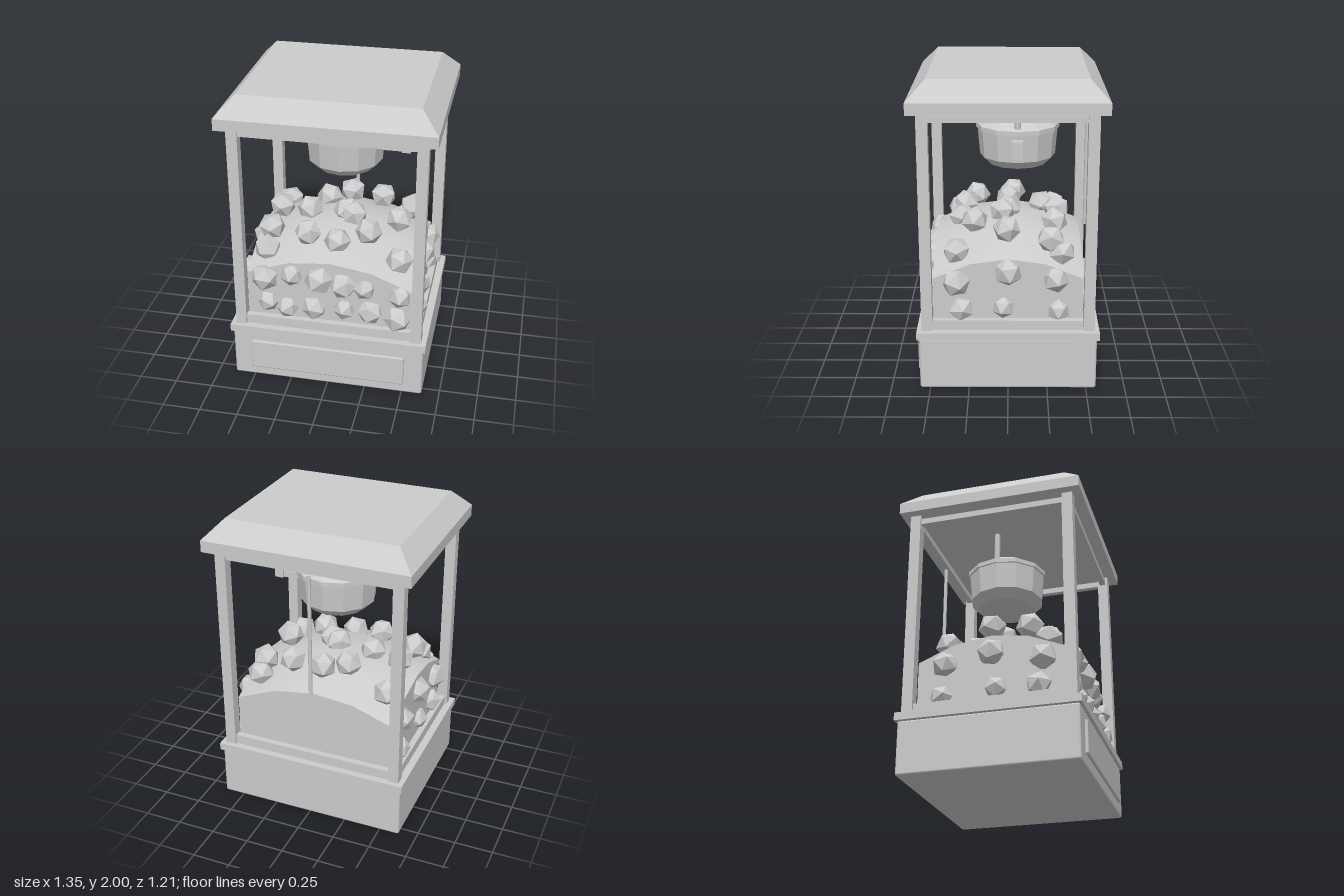
import * as THREE from 'three';
import { RoundedBoxGeometry } from 'three/addons/geometries/RoundedBoxGeometry.js';

const gray = new THREE.MeshStandardMaterial({ color: 0xcccccc });
gray.name = 'plain gray';

export function createModel() {
  const model = new THREE.Group();
  model.name = 'popcornMachine';

  const add = (name, geo, x = 0, y = 0, z = 0, parent = model) => {
    const mesh = new THREE.Mesh(geo, gray);
    mesh.name = name;
    mesh.position.set(x, y, z);
    parent.add(mesh);
    return mesh;
  };
  // Box given by its centre in x and z and its bottom and top in y
  const box = (name, w, y0, y1, d, x = 0, z = 0, parent = model) =>
    add(name, new THREE.BoxGeometry(w, y1 - y0, d), x, (y0 + y1) / 2, z, parent);
  const flat = (geo) => {
    const g = geo.index ? geo.toNonIndexed() : geo;
    g.computeVertexNormals();
    return g;
  };

  // Cabinet base, front drawer panel and ledge
  add('base', new RoundedBoxGeometry(1.27, 0.345, 1.13, 1, 0.014), 0, 0.1725, 0);
  add('frontPanel', new RoundedBoxGeometry(1.025, 0.21, 0.04, 1, 0.008), 0, 0.177, 0.563);
  box('ledge', 1.3, 0.345, 0.395, 1.16);

  // Corner posts
  for (const sx of [-1, 1])
    for (const sz of [-1, 1])
      box('post', 0.07, 0.395, 1.805, 0.07, sx * 0.581, sz * 0.514);

  // Rails between the posts, at the foot and under the roof
  for (const s of [-1, 1]) {
    for (const [name, y0, y1] of [['bottomRail', 0.395, 0.46], ['topRail', 1.745, 1.785]]) {
      box(name, 1.092, y0, y1, 0.04, 0, s * 0.514);
      box(name, 0.04, y0, y1, 0.958, s * 0.581, 0);
    }
  }

  // Roof: slab with a bevelled cap
  box('roofSlab', 1.35, 1.805, 1.88, 1.213);
  const cap = new THREE.BoxGeometry(1.35, 0.12, 1.213);
  const cp = cap.attributes.position;
  for (let i = 0; i < cp.count; i++)
    if (cp.getY(i) > 0) {
      cp.setX(i, Math.sign(cp.getX(i)) * 0.562);
      cp.setZ(i, Math.sign(cp.getZ(i)) * 0.49);
    }
  cap.computeVertexNormals();
  add('roofCap', cap, 0, 1.94, 0);

  // Kettle with lid, knob, hangers and side handle
  const kettle = new THREE.Group();
  kettle.name = 'kettle';
  kettle.position.z = -0.06;
  model.add(kettle);
  const profile = [[0, 1.34], [0.19, 1.34], [0.247, 1.395], [0.262, 1.575], [0.273, 1.575],
    [0.273, 1.605], [0.18, 1.665], [0, 1.665]].map(([r, y]) => new THREE.Vector2(r, y));
  add('kettleBody', flat(new THREE.LatheGeometry(profile, 12)), 0, 0, 0, kettle);
  box('lidKnob', 0.1, 1.665, 1.708, 0.06, 0, 0, kettle);
  for (const s of [-1, 1])
    add('hanger', new THREE.CylinderGeometry(0.02, 0.02, 0.21, 8), s * 0.24, 1.705, 0, kettle);
  box('handleArm', 0.14, 1.468, 1.51, 0.04, 0.318, 0, kettle);
  box('handleGrip', 0.058, 1.465, 1.582, 0.065, 0.405, 0, kettle);

  // Vertical door bar at the back
  add('doorBar', new THREE.CylinderGeometry(0.013, 0.013, 0.83, 8), 0, 1.315, -0.514);

  // Popcorn heap: a block whose top is domed
  const heap = new THREE.BoxGeometry(1.09, 1, 0.95, 4, 1, 4);
  const hp = heap.attributes.position;
  for (let i = 0; i < hp.count; i++) {
    const u = hp.getX(i) / 0.545, v = hp.getZ(i) / 0.475;
    const top = 1.01 - 0.14 * u * u - 0.13 * v * v - 0.015 * u;
    hp.setY(i, hp.getY(i) > 0 ? top : 0.396);
  }
  heap.computeVertexNormals();
  add('popcornHeap', heap);

  // Loose kernels, each turned differently
  const kernels = new THREE.Group();
  kernels.name = 'kernels';
  model.add(kernels);
  let count = 0;
  const kernel = (x, y, z, r) => {
    const k = add('kernel', new THREE.IcosahedronGeometry(r, 0), x, y, z, kernels);
    count++;
    k.rotation.set(count * 1.3, count * 2.1, count * 0.7);
  };
  // On the top
  for (const [x, y, z] of [[-0.43, 1, -0.03], [-0.23, 1.01, 0], [-0.14, 1, -0.22], [0, 1.01, -0.32],
    [-0.44, 0.97, 0.22], [0.02, 1.02, 0], [0.02, 0.96, 0.31], [0.08, 1.02, 0.04], [0.22, 1, -0.3],
    [0.43, 0.95, -0.27], [-0.18, 0.99, 0.29], [0.21, 1, 0.22], [0.38, 1, 0.01], [-0.44, 0.87, 0.34],
    [0.43, 0.87, 0.33], [0.44, 0.87, -0.34], [-0.44, 0.9, -0.31]])
    kernel(x, y, z, 0.092);
  // Against the front
  for (const [x, y, r] of [[-0.43, 0.73, 0.095], [-0.25, 0.77, 0.08], [-0.07, 0.75, 0.1], [0.09, 0.73, 0.095],
    [0.23, 0.72, 0.075], [0.46, 0.69, 0.08], [-0.41, 0.55, 0.075], [-0.28, 0.52, 0.08], [-0.1, 0.54, 0.088],
    [0.1, 0.55, 0.075], [0.27, 0.55, 0.088], [0.45, 0.52, 0.095]])
    kernel(x, y, 0.47, r);
  // Against both sides
  for (const s of [-1, 1])
    for (const [y, z, r] of [[0.7, 0.33, 0.095], [0.77, 0, 0.095], [0.72, -0.3, 0.088],
      [0.52, 0.3, 0.085], [0.53, 0.03, 0.075], [0.51, -0.32, 0.075]])
      kernel(s * 0.54, y, z, r);

  return model;
}
